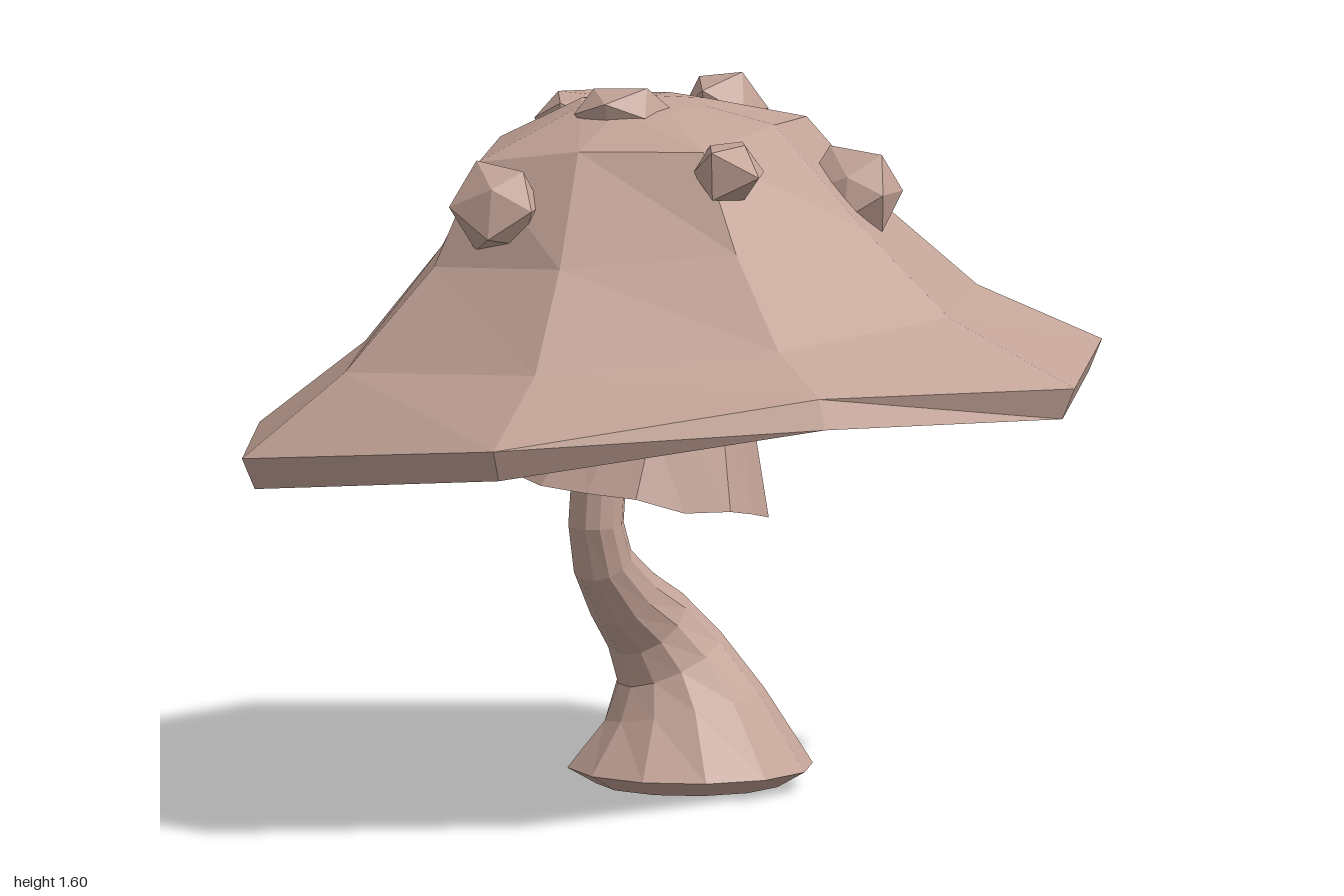
import * as THREE from 'three';

const V = (x, y, z) => new THREE.Vector3(x, y, z);

// Skin a stack of equal-length rings; optional end points close the shape
function loft(rings, startTip, endTip) {
  const pos = [];
  const tri = (...pts) => pts.forEach(p => pos.push(p.x, p.y, p.z));
  const n = rings[0].length;
  for (let j = 0; j < n; j++) {
    const k = (j + 1) % n;
    for (let i = 0; i < rings.length - 1; i++) {
      const lo = rings[i], hi = rings[i + 1];
      tri(lo[j], lo[k], hi[j]);
      tri(lo[k], hi[k], hi[j]);
    }
    if (startTip) tri(startTip, rings[0][k], rings[0][j]);
    const last = rings[rings.length - 1];
    if (endTip) tri(endTip, last[j], last[k]);
  }
  const geo = new THREE.BufferGeometry();
  geo.setAttribute('position', new THREE.Float32BufferAttribute(pos, 3));
  geo.computeVertexNormals();
  return geo;
}

// Ring of n points from a function of angle (0 = front, rising towards +x)
const ringOf = (n, fn) => Array.from({ length: n }, (_, j) => fn((j / n) * Math.PI * 2, j));

function capGeometry() {
  // Drooping eight-cornered rim
  const rim = [
    [-0.01, 0.92, 1], [0.62, 1.022, 0.63], [0.985, 0.98, 0.03], [0.74, 0.968, -0.72],
    [0.02, 0.88, -1], [-0.71, 0.8, -0.74], [-0.99, 0.78, -0.01], [-0.73, 0.82, 0.72],
  ].map(p => V(...p));
  const rimLow = rim.map(p => V(p.x * 0.97, p.y - 0.07, p.z * 0.97));
  rimLow[1].set(0.645, 0.958, 0.655);
  const lip = rimLow.map(p => V(p.x * 0.94, p.y + 0.012, p.z * 0.94));

  // Upper rings as x, z corners on a plane that leans towards -x
  const tilted = (y, xz) => xz.map(([x, z]) => V(x, y + 0.1 * x, z));
  const low = tilted(1.05, [[-0.03, 0.71], [0.46, 0.48], [0.67, 0], [0.51, -0.55],
    [-0.02, -0.76], [-0.52, -0.57], [-0.74, -0.02], [-0.57, 0.51]]);
  const mid = tilted(1.255, [[-0.07, 0.47], [0.3, 0.34], [0.46, -0.01], [0.34, -0.42],
    [-0.05, -0.54], [-0.41, -0.41], [-0.56, -0.03], [-0.43, 0.33]]);
  const high = tilted(1.495, [[-0.1, 0.29], [0.18, 0.24], [0.24, -0.03], [0.2, -0.31],
    [-0.07, -0.37], [-0.36, -0.31], [-0.42, -0.03], [-0.36, 0.24]]);
  high.forEach((p, j) => { if (j % 2) p.y -= 0.02; });
  const crown = ringOf(8, a => V(-0.08 + 0.15 * Math.sin(a), 1.55, -0.04 + 0.15 * Math.cos(a)));
  // Shallow underside following the same corners
  const hollow = (ring, drop) => ring.map(p => V(p.x * 0.95, p.y - drop, p.z * 0.95));

  return loft([hollow(mid, 0.195), hollow(low, 0.09), lip, rimLow, rim, low, mid, high, crown],
    V(-0.06, 1.1, 0), V(-0.08, 1.565, -0.04));
}

function skirtGeometry() {
  // Flared collar with a ragged hem and an open inside
  const n = 16;
  const hem = (r, lift) => ringOf(n, (a, j) => {
    const rr = r * (j % 2 ? 1.02 : 0.97);
    return V(-0.05 + rr * 1.03 * Math.sin(a),
      0.69 + lift + 0.04 * Math.cos(a) - 0.032 * Math.sin(a) + 0.01 * Math.sin(j * 2.3),
      0.085 + rr * Math.cos(a));
  });
  const band = (x, y, z, r) => ringOf(n, (a, j) => {
    const rr = r * (j % 2 ? 1.02 : 0.98);
    return V(x + rr * Math.sin(a), y, z + rr * Math.cos(a));
  });
  return loft([band(-0.09, 0.85, 0.08, 0.1), hem(0.24, 0.02), hem(0.285, 0),
    band(-0.01, 0.88, 0.075, 0.215), band(-0.03, 1.13, 0.05, 0.125)]);
}

function stemGeometry() {
  // Centre line and radius: broad foot, S-bend, slim neck
  const path = [
    [-0.02, 0.045, -0.165, 0.275], [-0.035, 0.18, -0.17, 0.182], [-0.065, 0.285, -0.155, 0.128],
    [-0.1, 0.375, -0.1, 0.102], [-0.12, 0.445, -0.015, 0.084], [-0.135, 0.53, 0.065, 0.068],
    [-0.137, 0.62, 0.098, 0.062], [-0.13, 0.78, 0.09, 0.062], [-0.07, 1.08, 0.05, 0.07],
  ];
  const n = 12;
  const rings = path.map(([x, y, z, r], i) => {
    const a = path[Math.max(i - 1, 0)], b = path[Math.min(i + 1, path.length - 1)];
    const t = i === 0 ? V(0, 1, 0) : V(b[0] - a[0], b[1] - a[1], b[2] - a[2]).normalize();
    const side = V(t.y, -t.x, 0).normalize();
    const front = side.clone().cross(t);
    return ringOf(n, ang => V(x, y, z)
      .addScaledVector(side, r * Math.sin(ang)).addScaledVector(front, r * Math.cos(ang)));
  });
  const sole = ringOf(n, a => V(-0.02 + 0.21 * Math.sin(a), 0.008, -0.165 + 0.21 * Math.cos(a)));
  return loft([sole, ...rings], V(-0.02, 0, -0.165), V(-0.07, 1.1, 0.05));
}

// Chipped lump: an icosahedron whose corners are pushed in or out by a rule
function wartGeometry(seed, sx, sy, sz) {
  const geo = new THREE.IcosahedronGeometry(1, 0);
  const p = geo.attributes.position;
  for (let i = 0; i < p.count; i++) {
    const v = V(p.getX(i), p.getY(i), p.getZ(i));
    const k = 0.97 + 0.22 * Math.sin(v.x * 5.1 + v.y * 7.3 + v.z * 3.7 + seed * 1.9);
    p.setXYZ(i, v.x * k * sx, v.y * k * sy, v.z * k * sz);
  }
  geo.computeVertexNormals();
  return geo;
}

export function createModel() {
  const model = new THREE.Group();
  model.name = 'mushroom';
  const flesh = new THREE.MeshStandardMaterial({ color: 0xc4a498, flatShading: true });
  flesh.name = 'dusty pink';

  const add = (name, geo) => {
    const mesh = new THREE.Mesh(geo, flesh);
    mesh.name = name;
    model.add(mesh);
    return mesh;
  };

  add('cap', capGeometry());
  add('skirt', skirtGeometry());
  add('stem', stemGeometry());

  // Warts scattered over the cap: position, then half sizes
  [
    [-0.03, 1.49, -0.355, 0.1, 0.095, 0.1],
    [-0.29, 1.485, -0.17, 0.115, 0.08, 0.115],
    [0.385, 1.36, -0.16, 0.11, 0.1, 0.095],
    [-0.09, 1.54, 0.08, 0.112, 0.062, 0.095],
    [0.23, 1.45, 0.225, 0.1, 0.09, 0.09],
    [-0.26, 1.36, 0.345, 0.11, 0.11, 0.09],
  ].forEach(([x, y, z, ...size], i) => add('wart', wartGeometry(i, ...size)).position.set(x, y, z));

  return model;
}
